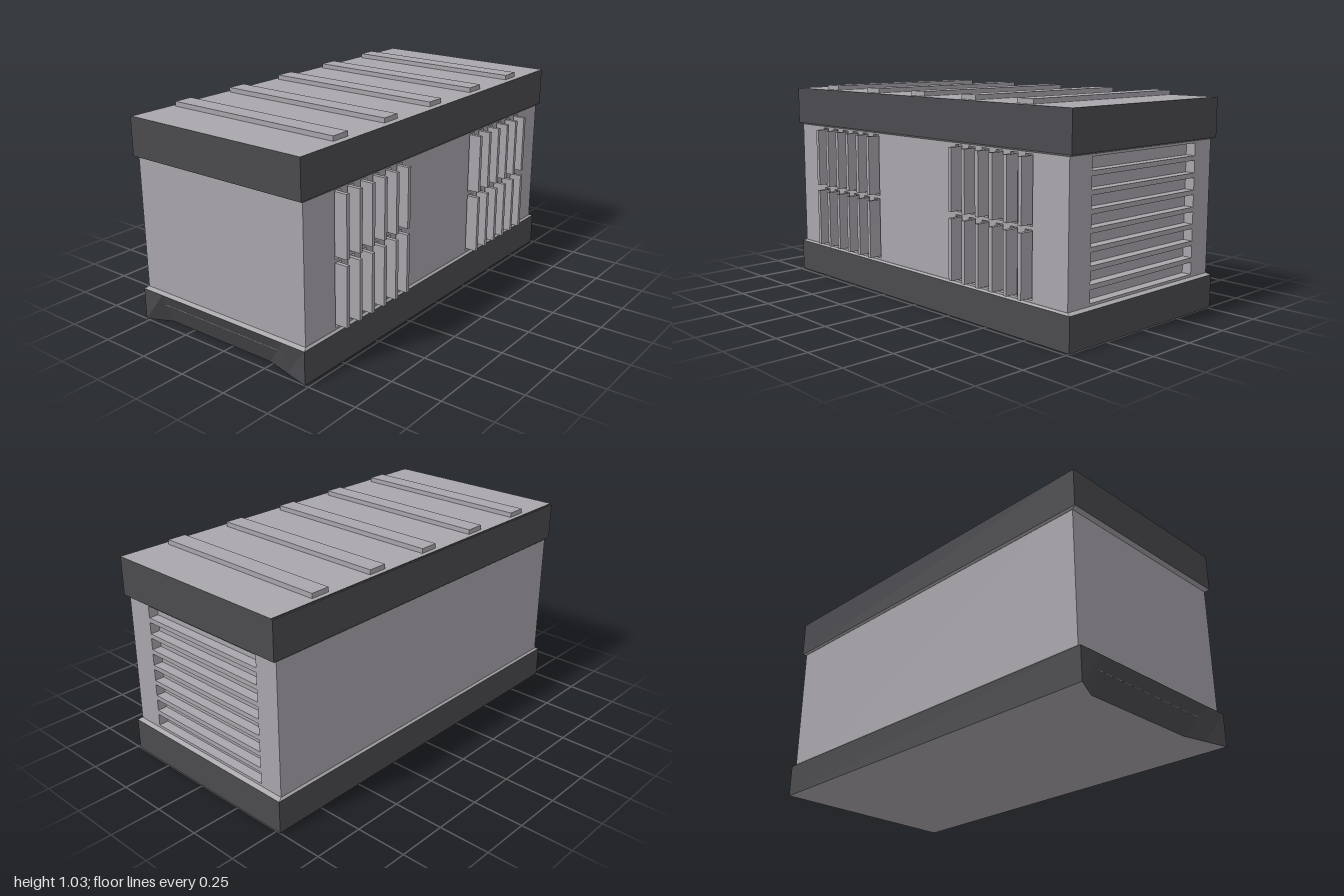
import * as THREE from 'three';

export function createModel() {
  const root = new THREE.Group();
  root.name = 'ventedContainer';
  const grey = new THREE.MeshStandardMaterial({ color: 0xa9a6ac });
  grey.name = 'panelGrey';
  const dark = new THREE.MeshStandardMaterial({ color: 0x4b4a4e });
  dark.name = 'bandDark';

  const add = (name, geo, mat, parent = root) => {
    const mesh = new THREE.Mesh(geo, mat);
    mesh.name = name;
    parent.add(mesh);
    return mesh;
  };
  // box given by its limits on each axis
  const box = (x0, x1, y0, y1, z0, z1, depthSegments = 1) =>
    new THREE.BoxGeometry(x1 - x0, y1 - y0, z1 - z0, 1, 1, depthSegments)
      .translate((x0 + x1) / 2, (y0 + y1) / 2, (z0 + z1) / 2);
  const rect = (T, x0, x1, y0, y1) => new T([
    new THREE.Vector2(x0, y0), new THREE.Vector2(x1, y0),
    new THREE.Vector2(x1, y1), new THREE.Vector2(x0, y1)]);

  // main body behind the two slotted panels
  add('body', box(-0.978, 0.93, 0.1, 0.9, -0.511, 0.45), grey);

  // front panel with two banks of upright slots, each holding a fin
  const front = rect(THREE.Shape, -0.978, 0.93, 0.1, 0.9);
  const fins = new THREE.Group();
  fins.name = 'frontFins';
  root.add(fins);
  for (const start of [-0.757, 0.308]) {
    for (let i = 0; i < 6; i++) {
      const x = start + i * 0.0888;
      for (const [y0, y1] of [[0.185, 0.475], [0.505, 0.797]]) {
        front.holes.push(rect(THREE.Path, x - 0.022, x + 0.022, y0 - 0.007, y1 + 0.007));
        add('fin', box(x - 0.01, x + 0.01, y0, y1, 0.44, 0.525), grey, fins);
      }
    }
  }
  add('frontPanel', new THREE.ExtrudeGeometry(front, { depth: 0.02, bevelEnabled: false })
    .translate(0, 0, 0.45), grey);

  // left end panel with eight long vent slots (shape x runs along -z)
  const side = rect(THREE.Shape, -0.47, 0.511, 0.1, 0.9);
  for (let i = 0; i < 8; i++) {
    const y = 0.2095 + i * 0.0803;
    side.holes.push(rect(THREE.Path, -0.332, 0.388, y - 0.029, y + 0.029));
  }
  add('ventPanel', new THREE.ExtrudeGeometry(side, { depth: 0.048, bevelEnabled: false })
    .rotateY(Math.PI / 2).translate(0.93, 0, 0), grey);

  // base band with a grey underside, its lower right edge tucked inwards between the corners
  const base = box(-1, 1, 0, 0.16, -0.522, 0.482, 8);
  const p = base.attributes.position;
  for (let i = 0; i < p.count; i++) {
    if (p.getX(i) < -0.99 && p.getY(i) < 0.01) {
      const z = p.getZ(i);
      p.setX(i, -1 + Math.min(0.06, 0.48 * (z + 0.522), 0.24 * (0.482 - z)));
    }
  }
  const flatBase = base.toNonIndexed();
  flatBase.computeVertexNormals();
  add('baseBand', flatBase, [dark, dark, grey, grey, dark, dark]);

  // lid band with a grey top that stops just short of the back edge
  add('lidBand', box(-1, 1, 0.82, 1.004, -0.522, 0.482), dark);
  add('lidTop', box(-1, 1, 1, 1.008, -0.514, 0.482), [dark, dark, grey, dark, dark, dark]);

  // sloped lips where the bands meet the body
  const lip = (name, yWide, yNarrow) => {
    const geo = box(-1, 1, Math.min(yWide, yNarrow), Math.max(yWide, yNarrow), -0.522, 0.482).toNonIndexed();
    const v = geo.attributes.position;
    for (let i = 0; i < v.count; i++) {
      if (Math.abs(v.getY(i) - yNarrow) < 0.001) {
        v.setX(i, v.getX(i) * 0.98);
        v.setZ(i, -0.02 + (v.getZ(i) + 0.02) * 0.98);
      }
    }
    geo.computeVertexNormals();
    add(name, geo, grey);
  };
  lip('baseLip', 0.16, 0.168);
  lip('lidLip', 0.82, 0.812);

  // raised ribs across the lid
  for (const x of [-0.71, -0.358, -0.003, 0.353, 0.706]) {
    add('lidRib', box(x - 0.048, x + 0.048, 0.99, 1.031, -0.492, 0.45), grey);
  }
  return root;
}
